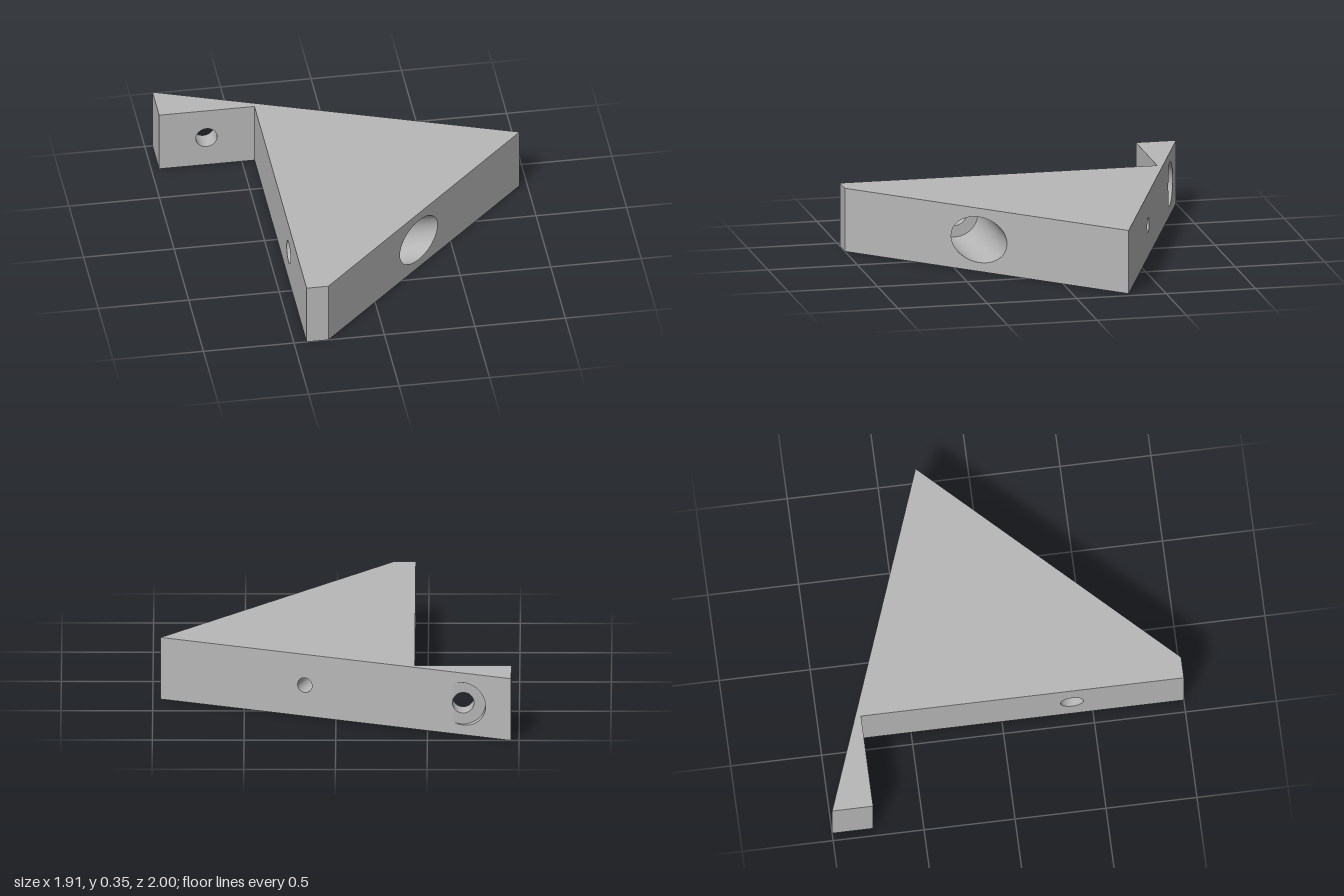
import * as THREE from 'three';

const H = 0.355, MID = 0.178, SEG = 64;

// plan outline as [x, z], ordered so each wall faces outward
const D = [-0.43, 1], C = [-0.31, 1], B = [0.957, -0.3];
const A = [-0.957, -1], F = [-0.957, -0.775], E = [-0.43, -0.775];
const OUTLINE = [D, C, B, A, F, E];

const dist = (p, q) => Math.hypot(q[0] - p[0], q[1] - p[1]);
const slantZ = x => A[1] + (x - A[0]) * (B[1] - A[1]) / (B[0] - A[0]);
const diagonalX = z => C[0] + (1 - z) * (B[0] - C[0]) / (1 - B[1]);

// points on an arc, stretched along u by k
function arc(u, r, from, to, k = 1) {
  return Array.from({ length: SEG + 1 }, (_, i) => {
    const a = from + (to - from) * i / SEG;
    return new THREE.Vector2(u + k * r * Math.cos(a), MID + r * Math.sin(a));
  });
}

// flat upright wall from p to q with openings cut out
function wall(p, q, openings = []) {
  const len = dist(p, q);
  const shape = new THREE.Shape([[0, 0], [len, 0], [len, H], [0, H]].map(c => new THREE.Vector2(...c)));
  openings.forEach(pts => shape.holes.push(new THREE.Path(pts)));
  return new THREE.ShapeGeometry(shape)
    .rotateY(-Math.atan2(q[1] - p[1], q[0] - p[0]))
    .translate(p[0], 0, p[1]);
}

// open tube along z whose two ends follow rules of the sideways offset
function bore(r, start, end) {
  const g = new THREE.CylinderGeometry(r, r, 1, SEG, 1, true);
  const pos = g.attributes.position;
  for (let i = 0; i < pos.count; i++) {
    pos.setY(i, (pos.getY(i) > 0 ? end : start)(pos.getX(i)));
  }
  return g.rotateX(Math.PI / 2);
}

export function createModel() {
  const group = new THREE.Group();
  const grey = new THREE.MeshStandardMaterial({ color: 0xb8b8b8, side: THREE.DoubleSide });
  grey.name = 'plain grey';
  const add = (name, geometry) => {
    const mesh = new THREE.Mesh(geometry, grey);
    mesh.name = name;
    group.add(mesh);
  };

  // top and bottom faces
  const plan = sign => new THREE.ShapeGeometry(
    new THREE.Shape(OUTLINE.map(([x, z]) => new THREE.Vector2(x, sign * z))));
  add('topFace', plan(-1).rotateX(-Math.PI / 2).translate(0, H, 0));
  add('bottomFace', plan(1).rotateX(Math.PI / 2));

  // hole sizes
  const armX = -0.695, armR = 0.059, armHeadR = 0.122, armFloor = -0.885;
  const bodyZ = 0.385, bodyR = 0.064, bodyHeadR = 0.128, bodyFloor = -0.3;
  const pinX = 0.17, pinR = 0.042, pinDepth = 0.4;
  const TAU = Math.PI * 2;

  // the arm counterbore breaks out of the slanted face along a chord
  const chord = A[0] + (armFloor - A[1]) * (B[0] - A[0]) / (B[1] - A[1]) - armX;
  const a = Math.acos(chord / armHeadR), b = Math.acos(chord / armR);
  const slantK = dist(A, B) / (B[0] - A[0]);
  const toSlant = x => (B[0] - x) * slantK;
  const armMouth = [...arc(0, armHeadR, a, TAU - a), ...arc(0, armR, -b, b)]
    .map(p => new THREE.Vector2(toSlant(armX + p.x), p.y));
  const diagonalK = dist(C, B) / (1 - B[1]);

  // outer walls
  add('frontTip', wall(D, C));
  add('diagonalWall', wall(C, B, [arc((1 - bodyZ) * diagonalK, bodyHeadR, 0, TAU, diagonalK).slice(1)]));
  add('slantedBackWall', wall(B, A, [armMouth, arc(toSlant(pinX), pinR, 0, TAU).slice(1)]));
  add('armEnd', wall(A, F));
  add('armFront', wall(F, E, [arc(armX - F[0], armR, 0, TAU).slice(1)]));
  add('sideWall', wall(E, D, [arc(bodyZ - E[1], bodyR, 0, TAU).slice(1)]));

  // arm screw hole with counterbore
  add('armHole', bore(armR, x => Math.max(armFloor, slantZ(armX + x)), () => F[1])
    .translate(armX, MID, 0));
  add('armCounterbore', bore(armHeadR, x => Math.min(armFloor, slantZ(armX + x)), () => armFloor)
    .translate(armX, MID, 0));
  const seat = new THREE.Shape([...arc(armX, armHeadR, a, TAU - a), ...arc(armX, armR, TAU - b, b)]);
  add('armCounterboreFloor', new THREE.ShapeGeometry(seat).translate(0, 0, armFloor));

  // body screw hole with counterbore, running along x
  const alongX = g => g.rotateY(Math.PI / 2).translate(0, MID, bodyZ);
  add('bodyHole', alongX(bore(bodyR, () => D[0], () => bodyFloor)));
  add('bodyCounterbore', alongX(bore(bodyHeadR, () => bodyFloor, s => diagonalX(bodyZ - s))));
  add('bodyCounterboreFloor', alongX(
    new THREE.RingGeometry(bodyR, bodyHeadR, SEG).translate(0, 0, bodyFloor)));

  // blind pin hole square to the slanted face
  const tilt = -Math.atan2(B[1] - A[1], B[0] - A[0]);
  const intoSlant = g => g.rotateY(tilt).translate(pinX, MID, slantZ(pinX));
  add('pinHole', intoSlant(bore(pinR, () => 0, () => pinDepth)));
  add('pinHoleFloor', intoSlant(
    new THREE.CircleGeometry(pinR, SEG).rotateY(Math.PI).translate(0, 0, pinDepth)));

  return group;
}
